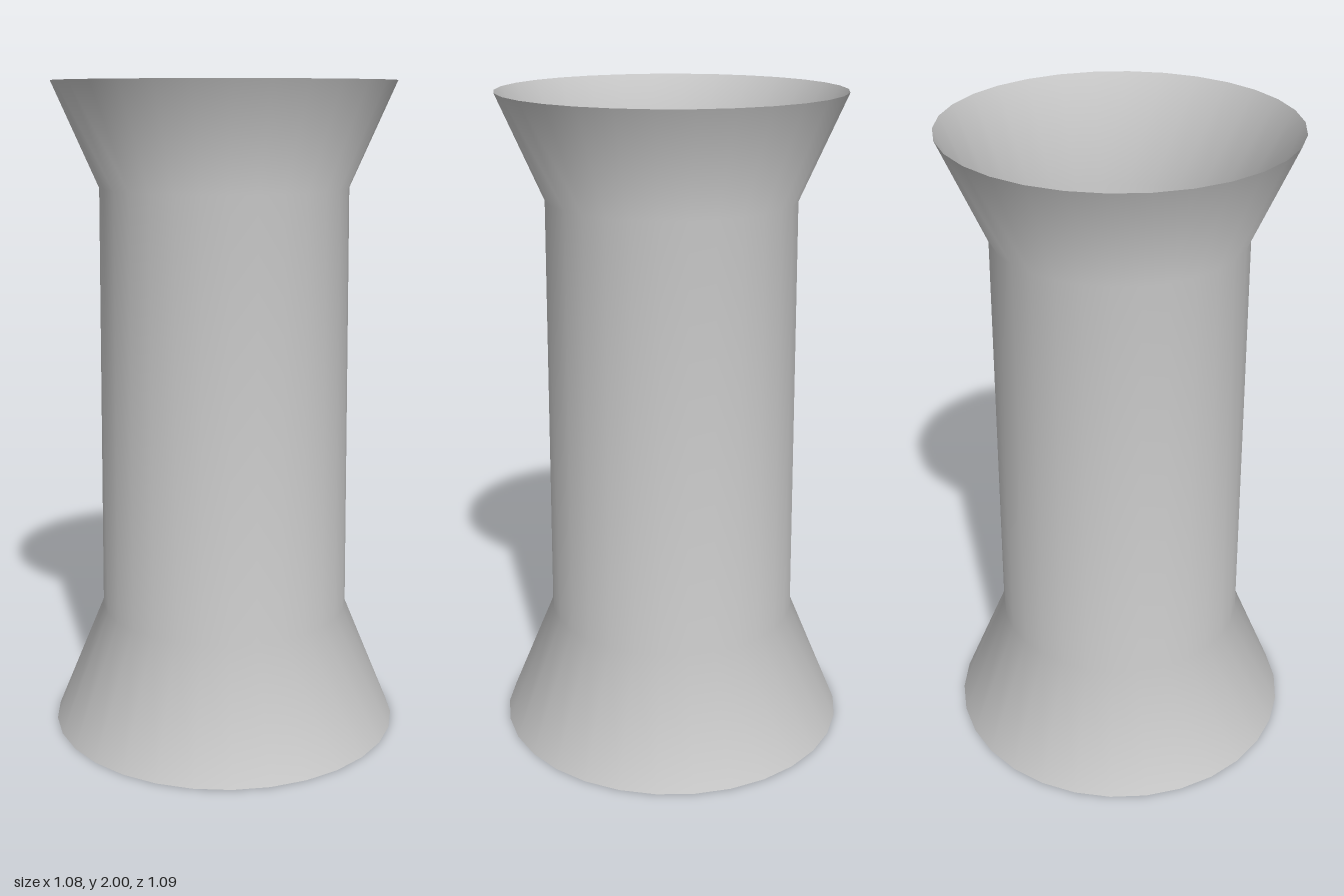
import * as THREE from 'three';

export function createModel() {
  const group = new THREE.Group();
  group.name = 'flaredTube';

  // Thin open shell: flared foot, slightly tapering shaft, flared rim
  const profile = [
    [0.543, 0],
    [0.387, 0.38],
    [0.374, 1.69],
    [0.51, 2],
  ].map(([r, y]) => new THREE.Vector2(r, y));

  const material = new THREE.MeshStandardMaterial({ color: 0xcccccc, side: THREE.DoubleSide });
  const shell = new THREE.Mesh(new THREE.LatheGeometry(profile, 30), material);
  shell.name = 'tubeShell';
  group.add(shell);

  return group;
}
